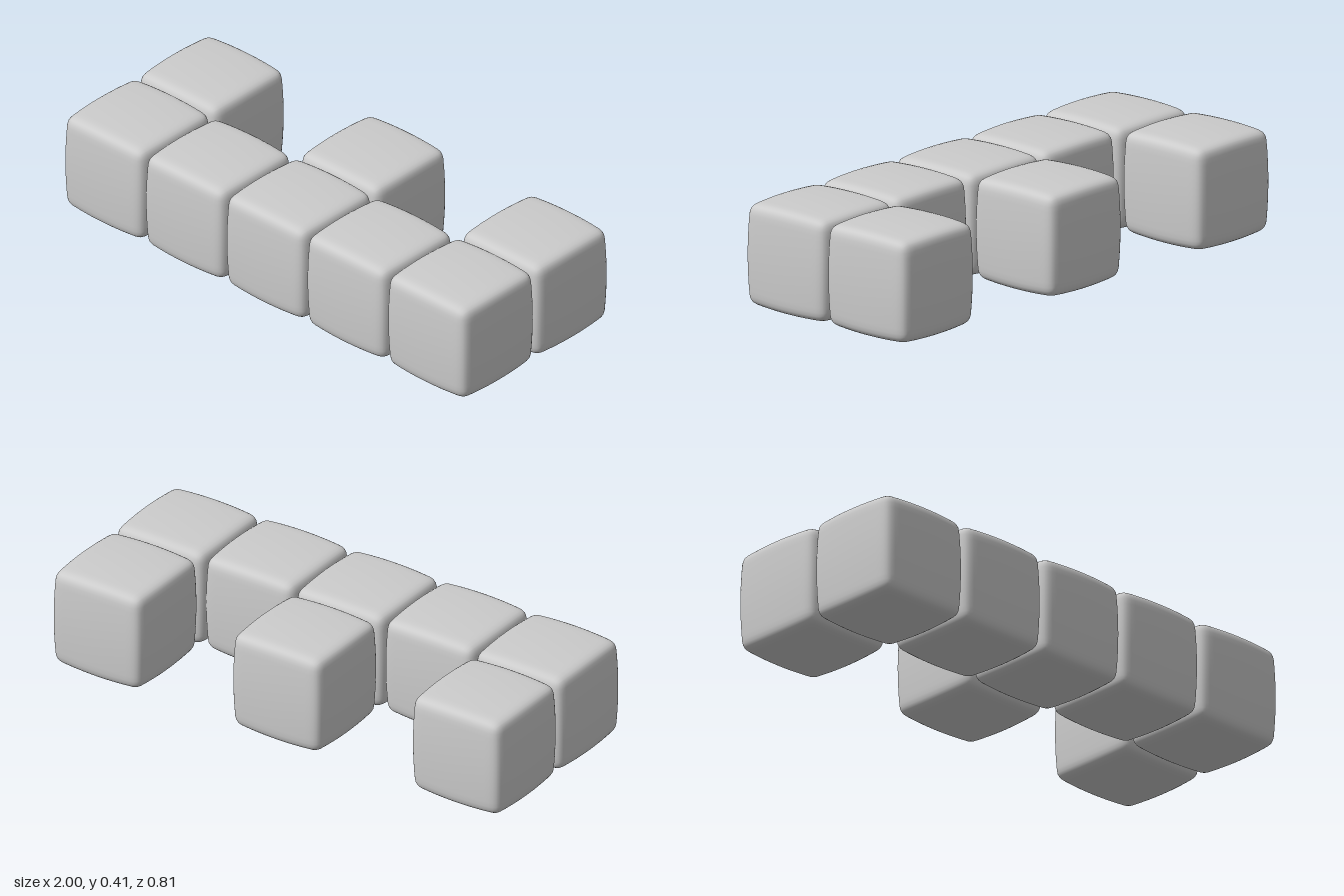
import * as THREE from 'three';
import { mergeVertices } from 'three/addons/utils/BufferGeometryUtils.js';

const HALF = 0.188, RADIUS = 0.034, BULGE = 0.0155;
const PITCH = 0.399;

// Pillow-like cube: rounded edges and gently swollen faces
function softCube() {
  let geo = new THREE.BoxGeometry(2, 2, 2, 20, 20, 20);
  geo.deleteAttribute('uv');
  geo.deleteAttribute('normal');
  geo = mergeVertices(geo, 1e-4);
  const pos = geo.attributes.position;
  const p = new THREE.Vector3(), core = new THREE.Vector3();
  const inner = HALF - RADIUS;
  // Crowd the grid lines toward the edges
  const ease = (t) => Math.sin((t * Math.PI) / 2) * HALF;
  for (let i = 0; i < pos.count; i++) {
    p.fromBufferAttribute(pos, i);
    p.set(ease(p.x), ease(p.y), ease(p.z));
    // Round the edges and corners
    core.copy(p).clampScalar(-inner, inner);
    p.sub(core).setLength(RADIUS).add(core);
    // Swell every face outward, most at its centre
    const x = p.x / HALF, y = p.y / HALF, z = p.z / HALF;
    p.x += BULGE * x * (1 - (y * y + z * z) / 2);
    p.y += BULGE * y * (1 - (x * x + z * z) / 2);
    p.z += BULGE * z * (1 - (x * x + y * y) / 2);
    pos.setXYZ(i, p.x, p.y, p.z);
  }
  geo.computeVertexNormals();
  return geo;
}

export function createModel() {
  const group = new THREE.Group();
  group.name = 'cushionBlocks';
  const geo = softCube();
  const mat = new THREE.MeshStandardMaterial({ color: 0xcccccc });

  const addCube = (name, column, z) => {
    const cube = new THREE.Mesh(geo, mat);
    cube.name = name;
    cube.position.set(column * PITCH, 0.205, z);
    group.add(cube);
  };

  // Full front row of five, with three cubes behind the ends and the middle
  for (let c = -2; c <= 2; c++) {
    addCube(`frontCube${c + 3}`, c, 0.199);
    if (c % 2 === 0) addCube(`backCube${c / 2 + 2}`, c, -0.199);
  }
  return group;
}
